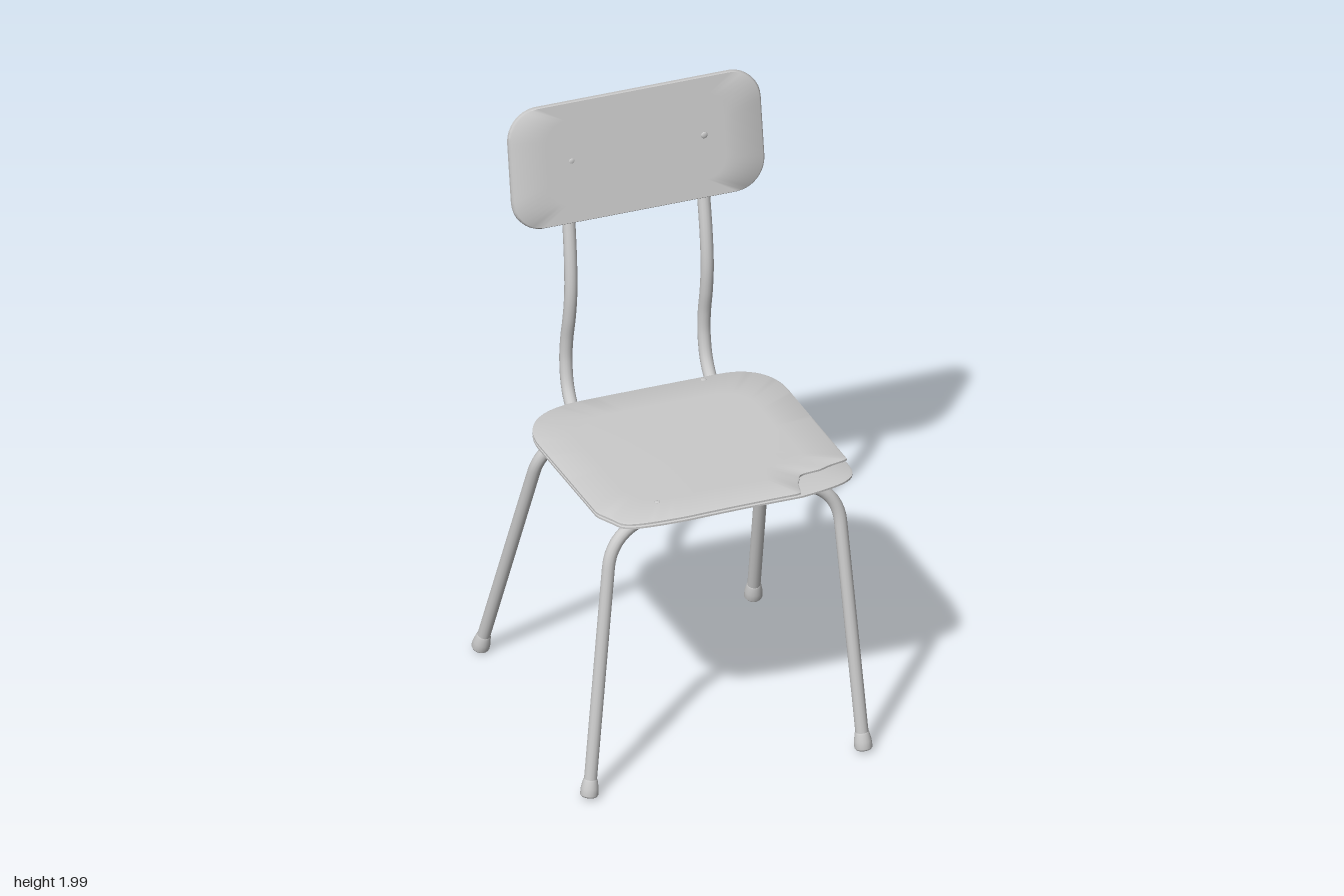
import * as THREE from 'three';
import { toCreasedNormals } from 'three/addons/utils/BufferGeometryUtils.js';

const V = (x, y, z) => new THREE.Vector3(x, y, z);
const TUBE = 0.0215;
const material = new THREE.MeshStandardMaterial({ color: 0xcccccc });

function add(group, name, geometry) {
  const mesh = new THREE.Mesh(geometry, material);
  mesh.name = name;
  group.add(mesh);
  return mesh;
}

// Polyline with its inner corners rounded off
function roundedPath(points, radius) {
  const path = new THREE.CurvePath();
  let from = points[0];
  for (let i = 1; i < points.length - 1; i++) {
    const p = points[i];
    const a = p.clone().add(points[i - 1].clone().sub(p).setLength(radius));
    const b = p.clone().add(points[i + 1].clone().sub(p).setLength(radius));
    path.add(new THREE.LineCurve3(from, a));
    path.add(new THREE.CubicBezierCurve3(a, a.clone().lerp(p, 0.6), b.clone().lerp(p, 0.6), b));
    from = b;
  }
  path.add(new THREE.LineCurve3(from, points[points.length - 1]));
  return path;
}

// Thin board with soft edges: rings of an outline in x and z, lifted by a height rule
function board(outline, centre, thickness, height = () => 0) {
  const profile = [[0, 0], [0.35, 0], [0.7, 0], [0.985, 0], [1, 0.25],
    [1, 0.75], [0.985, 1], [0.7, 1], [0.35, 1], [0, 1]];
  const n = outline.length, positions = [], index = [];
  for (const [s, h] of profile) {
    for (const p of outline) {
      const x = centre[0] + (p.x - centre[0]) * s;
      const z = centre[1] + (p.y - centre[1]) * s;
      positions.push(x, height(x, z) + h * thickness, z);
    }
  }
  for (let i = 0; i < profile.length - 1; i++) {
    for (let j = 0; j < n; j++) {
      const k = (j + 1) % n;
      const a = i * n + j, b = i * n + k, d = a + n, c = b + n;
      if (i < profile.length - 2) index.push(a, d, c);
      if (i > 0) index.push(a, c, b);
    }
  }
  const geometry = new THREE.BufferGeometry();
  geometry.setAttribute('position', new THREE.Float32BufferAttribute(positions, 3));
  geometry.setIndex(index);
  return toCreasedNormals(geometry, 0.9);
}

// Seat outline (x, z); the upper ply has its front left corner broken away
function seatOutline(broken) {
  const s = new THREE.Shape();
  s.moveTo(0.47, -0.17);
  if (broken) {
    const crack = [[0.467, 0.355], [0.4, 0.372], [0.36, 0.39], [0.285, 0.4], [0.255, 0.46], [0.24, 0.524]];
    for (const [x, z] of crack) s.lineTo(x, z);
  } else {
    s.lineTo(0.465, 0.36);
    s.bezierCurveTo(0.465, 0.46, 0.44, 0.49, 0.24, 0.524);
  }
  s.lineTo(-0.15, 0.522);
  s.bezierCurveTo(-0.33, 0.51, -0.37, 0.49, -0.375, 0.45);
  s.lineTo(-0.41, 0.37);
  s.lineTo(-0.41, -0.15);
  s.bezierCurveTo(-0.4, -0.29, -0.32, -0.355, -0.18, -0.357);
  s.lineTo(0.31, -0.352);
  s.bezierCurveTo(0.42, -0.35, 0.47, -0.27, 0.47, -0.17);
  return s.getSpacedPoints(160).slice(0, -1);
}

// Underside of the seat: rises to the front with a slight crown
function seatHeight(x, z) {
  const t = (z + 0.355) / 0.88, u = (x - 0.1) / 0.5;
  return 0.938 + 0.03 * t + 0.012 * (1 - u * u) * (0.3 + 0.7 * t);
}

function backrestOutline(w, h, r) {
  const s = new THREE.Shape();
  s.absarc(w - r, h - r, r, 0, Math.PI / 2);
  s.absarc(r - w, h - r, r, Math.PI / 2, Math.PI);
  s.absarc(r - w, r - h, r, Math.PI, Math.PI * 1.5);
  s.absarc(w - r, r - h, r, Math.PI * 1.5, Math.PI * 2);
  s.closePath();
  return s.getSpacedPoints(120).slice(0, -1);
}

// One bent tube: two legs and the bar between them, with flared foot caps
function legFrame(name, points) {
  const frame = new THREE.Group();
  frame.name = name;
  add(frame, name + 'Tube', new THREE.TubeGeometry(roundedPath(points, 0.15), 110, TUBE, 14));
  const capProfile = [[0, 0], [0.026, 0], [0.03, 0.006], [0.029, 0.03], [0.024, 0.055], [TUBE, 0.06]];
  for (const [foot, knee] of [[points[0], points[1]], [points[3], points[2]]]) {
    const cap = add(frame, 'footCap',
      new THREE.LatheGeometry(capProfile.map(([r, y]) => new THREE.Vector2(r, y)), 18));
    cap.position.copy(foot);
    cap.quaternion.setFromUnitVectors(V(0, 1, 0), knee.clone().sub(foot).normalize());
  }
  return frame;
}

// Side rail: under the seat, round the back and up behind the backrest
function backRail(name, xBottom, xTop) {
  const side = [[0.39, 0.95], [0.1, 0.917], [-0.18, 0.888], [-0.27, 0.888], [-0.35, 0.913], [-0.415, 0.98],
    [-0.442, 1.07], [-0.442, 1.15], [-0.428, 1.24], [-0.423, 1.33], [-0.435, 1.44], [-0.468, 1.6],
    [-0.508, 1.78], [-0.532, 1.905]];
  const points = side.map(([z, y]) =>
    V(xBottom + (xTop - xBottom) * Math.max(0, (y - 0.89) / 1.015), y, z));
  const rail = new THREE.Group();
  rail.name = name;
  add(rail, name + 'Tube', new THREE.TubeGeometry(new THREE.CatmullRomCurve3(points), 110, TUBE, 14));
  const end = add(rail, 'railEnd', new THREE.SphereGeometry(TUBE, 14, 10));
  end.scale.y = 0.5;
  end.position.copy(points[points.length - 1]);
  return rail;
}

export function createModel() {
  const chair = new THREE.Group();
  chair.name = 'chair';

  // Seat in two plies
  const centre = [0.03, 0.08];
  add(chair, 'seatLowerPly', board(seatOutline(false), centre, 0.013, seatHeight));
  add(chair, 'seatUpperPly', board(seatOutline(true), centre, 0.013, (x, z) => seatHeight(x, z) + 0.012));

  // Backrest
  const back = add(chair, 'backrest', board(backrestOutline(0.441, 0.207, 0.105), [0, 0], 0.022, () => -0.011));
  back.rotation.set(Math.PI / 2 - 0.19, 0, 0);
  const backGroup = new THREE.Group();
  backGroup.name = 'backrestPanel';
  backGroup.position.set(0.0625, 1.787, -0.474);
  backGroup.rotation.set(0, 0.012, -0.015);
  backGroup.add(back);
  chair.add(backGroup);

  // Frame tubes
  chair.add(legFrame('frontLegs', [V(-0.485, 0.01, 0.49), V(-0.367, 0.945, 0.395),
    V(0.413, 0.95, 0.395), V(0.452, 0.01, 0.535)]));
  chair.add(legFrame('backLegs', [V(-0.457, 0.01, -0.53), V(-0.352, 0.925, -0.235),
    V(0.428, 0.93, -0.235), V(0.485, 0.01, -0.51)]));
  chair.add(backRail('rightRail', -0.2, -0.163));
  chair.add(backRail('leftRail', 0.285, 0.298));

  // Fixings: screw heads on the backrest and seat, nuts behind the rails
  for (const x of [-0.165, 0.297]) {
    const head = add(chair, 'backrestScrew', new THREE.SphereGeometry(0.012, 12, 8));
    head.scale.z = 0.4;
    head.position.set(x, 1.795, -0.464);
    const nut = add(chair, 'backrestNut', new THREE.CylinderGeometry(0.01, 0.01, 0.04, 10));
    nut.rotation.x = Math.PI / 2 - 0.19;
    nut.position.set(x, 1.79, -0.528);
  }
  for (const [x, z] of [[-0.21, 0.395], [0.24, -0.33]]) {
    const head = add(chair, 'seatScrew', new THREE.SphereGeometry(0.01, 12, 8));
    head.scale.y = 0.3;
    head.position.set(x, seatHeight(x, z) + 0.025, z);
  }
  const stud = add(chair, 'underSeatStud', new THREE.CylinderGeometry(0.012, 0.008, 0.04, 10));
  stud.position.set(0.045, 0.917, -0.235);
  return chair;
}
